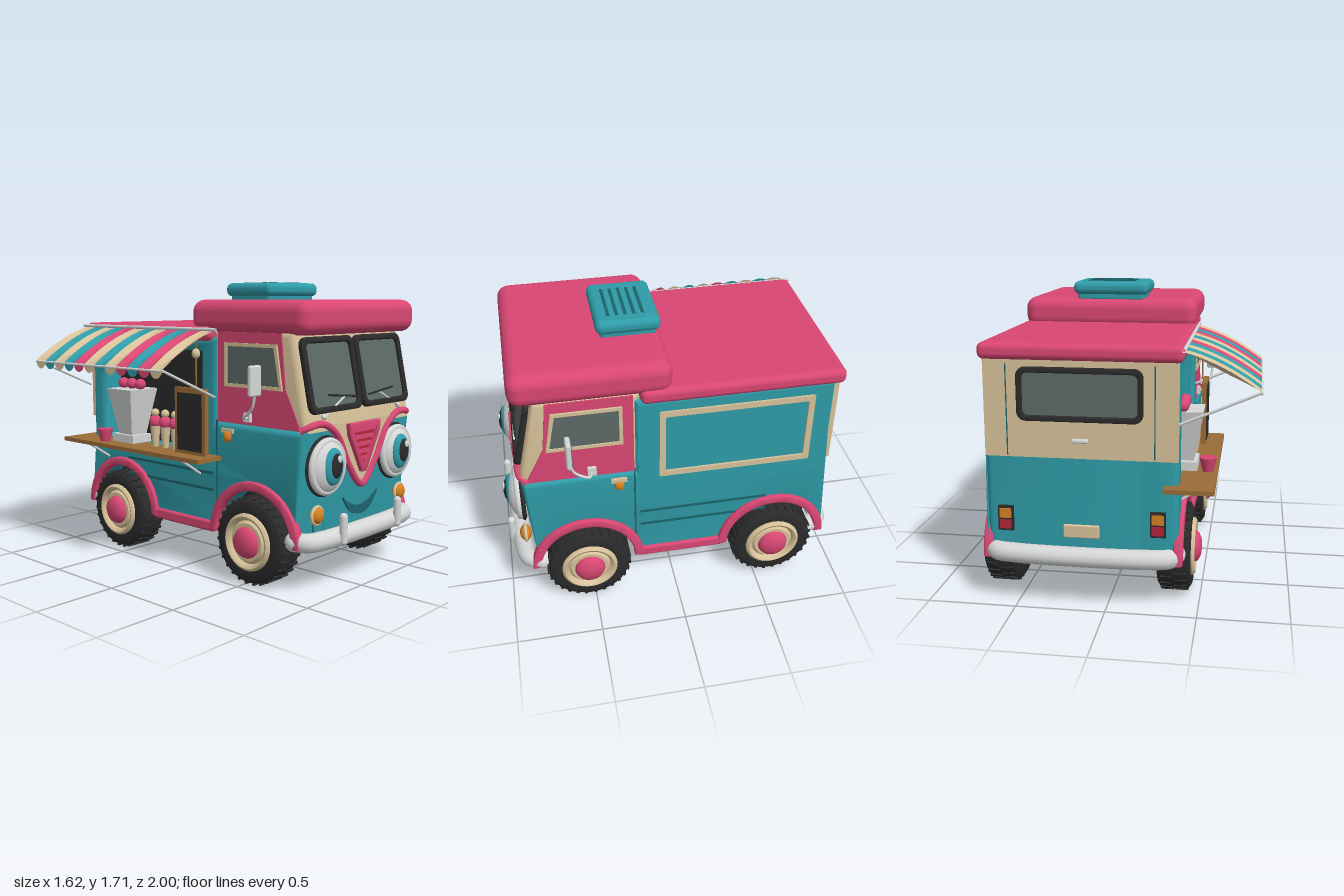
import * as THREE from 'three';
import { RoundedBoxGeometry } from 'three/addons/geometries/RoundedBoxGeometry.js';
import { mergeGeometries, toCreasedNormals } from 'three/addons/utils/BufferGeometryUtils.js';

const paint = (name, color) => {
  const m = new THREE.MeshStandardMaterial({ color, side: THREE.DoubleSide });
  m.name = name;
  return m;
};

export function createModel() {
  const pink = paint('pink', 0xd94773), teal = paint('teal', 0x2f9ca8), beige = paint('beige', 0xd8c29a);
  const black = paint('black', 0x2b2b2b), glass = paint('glass', 0x5d6a68), silver = paint('silver', 0xd6d8d8);
  const orange = paint('orange', 0xd5801f), wood = paint('wood', 0x9a6c38), darkTeal = paint('darkTeal', 0x1b646c);
  const red = paint('red', 0xb3263a);

  const model = new THREE.Group();
  model.name = 'foodTruck';
  const van = new THREE.Group(); // van body is symmetric about its own x = 0
  van.name = 'van';
  van.position.x = 0.14;
  model.add(van);

  // ---- helpers ----
  const add = (name, geo, mat, x = 0, y = 0, z = 0, parent = van) => {
    const m = new THREE.Mesh(geo, mat);
    m.name = name;
    m.position.set(x, y, z);
    parent.add(m);
    return m;
  };
  const box = (name, mat, w, h, d, x, y, z, parent) => add(name, new THREE.BoxGeometry(w, h, d), mat, x, y, z, parent);
  const rbox = (name, mat, w, h, d, r, x, y, z) => add(name, new RoundedBoxGeometry(w, h, d, 4, r), mat, x, y, z);
  const ball = (name, mat, sx, sy, sz, x, y, z) =>
    add(name, new THREE.SphereGeometry(1, 28, 18), mat, x, y, z).scale.set(sx, sy, sz);
  const tube = (name, mat, r, pts) => {
    const curve = new THREE.CatmullRomCurve3(pts.map(p => new THREE.Vector3(...p)), false, 'centripetal');
    return add(name, new THREE.TubeGeometry(curve, pts.length * 8, r, 12), mat);
  };
  const poly = pts => new THREE.Shape(pts.map(p => new THREE.Vector2(...p)));
  const extrude = (shape, depth, b = 0) => toCreasedNormals(new THREE.ExtrudeGeometry(shape, {
    depth: depth - 2 * b, bevelEnabled: b > 0, bevelThickness: b, bevelSize: b, bevelOffset: -b, bevelSegments: 4, curveSegments: 28,
  }).translate(0, 0, b), 0.6);
  // outline drawn in (z, y), extruded from x0 to x1
  const side = (name, mat, shape, x0, x1, b = 0) =>
    add(name, extrude(shape, x1 - x0, b).rotateY(-Math.PI / 2).translate(x1, 0, 0), mat);
  const sidePlate = (name, mat, shape, s, x, t) => side(name, mat, shape, s > 0 ? x : -x - t, s > 0 ? x + t : -x);
  const roundRect = (w, h, r, cx = 0, cy = 0) => {
    const s = new THREE.Shape(), a = w / 2 - r, c = h / 2 - r, q = Math.PI / 2;
    s.absarc(cx + a, cy + c, r, 0, q);
    s.absarc(cx - a, cy + c, r, q, 2 * q);
    s.absarc(cx - a, cy - c, r, 2 * q, 3 * q);
    s.absarc(cx + a, cy - c, r, 3 * q, 4 * q);
    return s;
  };
  const withHole = (s, h) => { s.holes.push(h); return s; };

  // ---- body ----
  const bodyOutline = () => {
    const s = new THREE.Shape();
    s.moveTo(0.88, 0.26);
    s.absarc(0.53, 0.26, 0.29, 0, Math.PI);
    s.absarc(-0.6, 0.26, 0.29, 0, Math.PI);
    [[-0.91, 0.26], [-0.91, 1.4], [0.24, 1.4], [0.24, 0.91], [0.88, 0.91]].forEach(p => s.lineTo(...p));
    return s;
  };
  side('body', teal, bodyOutline(), -0.39, 0.53, 0.04);
  side('servingWall', teal, withHole(bodyOutline(), roundRect(0.88, 0.6, 0.02, -0.34, 1.01)), -0.53, -0.29, 0.04);
  sidePlate('servingInterior', black, roundRect(0.9, 0.62, 0.02, -0.34, 1.01), -1, 0.39, 0.006);
  box('underbody', black, 0.76, 0.34, 1.68, 0, 0.42, -0.02);
  side('cab', beige, poly([[0.2, 0.9], [0.885, 0.9], [0.87, 1.0], [0.78, 1.44], [0.2, 1.44]]), -0.515, 0.515, 0.035);
  rbox('cabRoof', pink, 1.08, 0.19, 0.88, 0.07, 0, 1.515, 0.46);
  rbox('rearRoof', pink, 1.1, 0.09, 1.15, 0.035, 0, 1.415, -0.375);
  rbox('ventBase', teal, 0.42, 0.06, 0.31, 0.02, -0.005, 1.62, 0.21);
  rbox('roofVent', teal, 0.47, 0.08, 0.36, 0.035, -0.005, 1.67, 0.21);
  for (let i = 0; i < 5; i++) box('ventSlot', darkTeal, 0.3, 0.006, 0.018, 0, 1.71, 0.12 + i * 0.048);

  // ---- both sides ----
  for (const s of [-1, 1]) {
    sidePlate('doorPanel', pink, poly([[0.24, 0.91], [0.85, 0.91], [0.74, 1.13], [0.71, 1.43], [0.24, 1.43]]), s, 0.514, 0.008);
    const win = e => poly([[0.30 + e, 1.12 + e], [0.725 - e, 1.12 + e], [0.685 - e, 1.37 - e], [0.30 + e, 1.37 - e]]);
    sidePlate('doorWindowFrame', beige, withHole(win(0), win(0.02)), s, 0.52, 0.014);
    sidePlate('doorWindow', glass, win(0.015), s, 0.521, 0.006);
    box('doorSeam', darkTeal, 0.004, 0.6, 0.01, s * 0.53, 0.62, 0.24);
    for (const y of [0.5, 0.6]) box('sideRib', darkTeal, 0.008, 0.016, 0.76, s * 0.531, y, -0.17);
    for (const z of [0.53, -0.6]) {
      const arch = new THREE.Shape();
      arch.absarc(z, 0.26, 0.335, 0, Math.PI);
      arch.absarc(z, 0.26, 0.28, Math.PI, 0, true);
      side('wheelArch', pink, arch, s > 0 ? 0.5 : -0.555, s > 0 ? 0.555 : -0.5, 0.012);
    }
    rbox('sill', pink, 0.05, 0.065, 0.52, 0.015, s * 0.525, 0.28, -0.035);
    // marker lamp
    box('markerPlate', beige, 0.02, 0.025, 0.09, s * 0.535, 0.865, 0.33);
    ball('markerLamp', orange, 0.022, 0.032, 0.028, s * 0.54, 0.83, 0.33);
    // wing mirror
    rbox('mirror', silver, 0.09, 0.17, 0.03, 0.012, s * 0.625, 1.175, 0.61);
    box('mirrorGlass', glass, 0.065, 0.14, 0.004, s * 0.625, 1.175, 0.593);
    tube('mirrorArm', silver, 0.008, [[s * 0.62, 1.1, 0.61], [s * 0.61, 1.02, 0.58], [s * 0.59, 0.96, 0.5], [s * 0.52, 0.95, 0.48]]);
    box('mirrorMount', silver, 0.03, 0.05, 0.05, s * 0.53, 0.955, 0.48);
  }
  // framed panel on the left side
  sidePlate('sidePanel', teal, roundRect(1.1, 0.61, 0.01, -0.33, 1.065), 1, 0.53, 0.006);
  sidePlate('sidePanelFrame', beige, withHole(roundRect(0.88, 0.45, 0.01, -0.34, 1.09), roundRect(0.81, 0.38, 0.01, -0.34, 1.09)), 1, 0.53, 0.018);

  // ---- wheels ----
  const lathe = pts => toCreasedNormals(new THREE.LatheGeometry(pts.map(p => new THREE.Vector2(...p)), 40), 0.7);
  const tyre = lathe([[0, -0.07], [0.15, -0.07], [0.16, -0.09], [0.215, -0.095], [0.238, -0.08], [0.246, -0.04], [0.246, 0.04], [0.238, 0.08], [0.215, 0.095], [0.165, 0.09], [0.15, 0.05]]);
  const rim = lathe([[0.168, 0.07], [0.165, 0.1], [0.15, 0.112], [0.135, 0.105], [0.125, 0.085], [0.11, 0.1], [0.09, 0.1], [0.08, 0.06]]);
  const hub = lathe([[0.09, 0.08], [0.09, 0.105], [0.08, 0.125], [0.05, 0.14], [0, 0.146]]);
  const blocks = [];
  for (let i = 0; i < 56; i++) {
    blocks.push(new THREE.BoxGeometry(0.012, 0.07, 0.017).translate(0.247, i % 2 ? 0.04 : -0.04, 0).rotateY(i * Math.PI / 28));
  }
  const tread = mergeGeometries(blocks);
  for (const z of [0.53, -0.6]) {
    for (const s of [-1, 1]) {
      const wheel = new THREE.Group();
      wheel.name = 'wheel';
      wheel.position.set(s * 0.495, 0.256, z);
      wheel.rotation.z = -s * Math.PI / 2;
      add('tyre', tyre, black, 0, 0, 0, wheel);
      add('tread', tread, black, 0, 0, 0, wheel);
      add('rim', rim, beige, 0, 0, 0, wheel);
      add('hubCap', hub, pink, 0, 0, 0, wheel);
      van.add(wheel);
    }
    tube('axle', silver, 0.025, [[-0.45, 0.245, z], [0.45, 0.245, z]]);
  }

  // ---- bumpers ----
  for (const [s, z] of [[1, 0.905], [-1, -0.94]]) {
    tube('bumper', silver, 0.055, [[-0.51, 0.295, z - s * 0.1], [-0.48, 0.295, z - s * 0.03], [-0.36, 0.295, z], [0.36, 0.295, z], [0.48, 0.295, z - s * 0.03], [0.51, 0.295, z - s * 0.1]]);
    for (const e of [-1, 1]) ball('bumperEnd', silver, 0.055, 0.055, 0.055, e * 0.51, 0.295, z - s * 0.1);
  }

  // ---- front face ----
  for (const s of [-1, 1]) {
    // windscreen half with wiper
    const pane = new THREE.Group();
    pane.name = 'windscreen';
    pane.position.set(s * 0.245, 1.2, 0.825);
    pane.rotation.x = -0.21;
    van.add(pane);
    add('windscreenFrame', extrude(withHole(roundRect(0.475, 0.42, 0.05), roundRect(0.405, 0.35, 0.03)), 0.035, 0.008), black, 0, 0, 0, pane);
    add('windscreenGlass', extrude(roundRect(0.42, 0.365, 0.03), 0.008), glass, 0, 0, 0.008, pane);
    const wx = s < 0 ? -0.37 : 0.37;
    tube('wiperArm', silver, 0.006, [[wx, 0.98, 0.895], [wx - s * 0.19, 1.075, 0.885]]);
    tube('wiperBlade', black, 0.006, [[wx - s * 0.05, 1.095, 0.88], [wx - s * 0.31, 1.07, 0.885]]);
    ball('wiperPivot', silver, 0.016, 0.016, 0.016, wx, 0.98, 0.89);

    // eye
    const ex = s * 0.345, ix = ex - (s > 0 ? 0.018 : 0.006);
    ball('eyeSurround', black, 0.17, 0.172, 0.03, ex, 0.705, 0.88);
    add('eyeRim', new THREE.TorusGeometry(0.142, 0.02, 12, 40), silver, ex, 0.705, 0.9);
    ball('eyeWhite', silver, 0.15, 0.155, 0.085, ex, 0.705, 0.88);
    ball('iris', teal, 0.082, 0.104, 0.033, ix, 0.71, 0.943);
    ball('pupil', black, 0.057, 0.076, 0.03, ix, 0.715, 0.955);
    ball('eyeGlint', silver, 0.018, 0.022, 0.01, ix + 0.01, 0.755, 0.979);

    // turn lamp and bumper post
    add('lampRing', new THREE.TorusGeometry(0.048, 0.01, 10, 28), beige, s * 0.415, 0.44, 0.885);
    ball('turnLamp', orange, 0.047, 0.047, 0.035, s * 0.415, 0.44, 0.885);
    add('bumperPost', new THREE.CapsuleGeometry(0.023, 0.14, 6, 16), silver, s * 0.275, 0.35, 0.965);
  }
  add('noseShield', extrude(poly([[-0.33, 0.93], [-0.22, 0.84], [-0.12, 0.68], [0, 0.55], [0.12, 0.68], [0.22, 0.84], [0.33, 0.93]]), 0.008), beige, 0, 0, 0.879);
  tube('noseTrim', pink, 0.02, [[-0.52, 0.91, 0.84], [-0.48, 0.935, 0.88], [-0.37, 0.94, 0.888], [-0.25, 0.87, 0.89], [-0.13, 0.68, 0.89], [0, 0.555, 0.89],
    [0.13, 0.68, 0.89], [0.25, 0.87, 0.89], [0.37, 0.94, 0.888], [0.48, 0.935, 0.88], [0.52, 0.91, 0.84]]);
  const grille = k => poly([[-0.155, 0.92], [0.155, 0.92], [0.15, 0.86], [0.02, 0.63], [-0.02, 0.63], [-0.15, 0.86]].map(([x, y]) => [x * k, 0.8 + (y - 0.8) * k]));
  add('grilleFrame', extrude(withHole(grille(1), grille(0.78)), 0.035, 0.008), pink, 0, 0, 0.88);
  add('grilleBack', extrude(grille(0.8), 0.008), red, 0, 0, 0.885);
  for (let i = 0; i < 5; i++) box('grilleSlat', pink, 0.23 - i * 0.04, 0.022, 0.014, 0, 0.875 - i * 0.042, 0.897);
  const smile = new THREE.Shape();
  smile.moveTo(-0.175, 0.5);
  smile.quadraticCurveTo(0, 0.36, 0.175, 0.5);
  smile.quadraticCurveTo(0.11, 0.375, 0, 0.378);
  smile.quadraticCurveTo(-0.11, 0.375, -0.175, 0.5);
  add('smile', extrude(smile, 0.009), darkTeal, 0, 0, 0.878);

  // ---- back face ----
  box('backPanel', beige, 1.05, 0.54, 0.03, 0, 1.11, -0.902);
  add('backWindowFrame', extrude(withHole(roundRect(0.68, 0.29, 0.05), roundRect(0.62, 0.23, 0.03)), 0.03, 0.006), black, 0, 1.19, -0.943);
  add('backWindow', extrude(roundRect(0.64, 0.25, 0.03), 0.008), glass, 0, 1.19, -0.925);
  for (const s of [-1, 1]) {
    box('hatchSeam', darkTeal, 0.006, 0.5, 0.006, s * 0.4, 1.1, -0.917);
    box('tailLampCase', black, 0.085, 0.14, 0.03, s * 0.42, 0.49, -0.915);
    box('tailLampAmber', orange, 0.065, 0.055, 0.008, s * 0.42, 0.52, -0.932);
    box('tailLampRed', red, 0.065, 0.05, 0.008, s * 0.42, 0.457, -0.932);
  }
  rbox('hatchHandle', silver, 0.09, 0.022, 0.03, 0.008, 0, 0.94, -0.925);
  rbox('numberPlate', beige, 0.2, 0.075, 0.02, 0.008, 0, 0.43, -0.918);

  // ---- awning ----
  const stripes = [beige, teal, beige, teal, pink, beige, teal, beige, pink, teal, pink, beige];
  const w = 1.17 / stripes.length;
  stripes.forEach((mat, i) => {
    const z0 = -0.94 + i * w, cloth = new THREE.PlaneGeometry(1, 1, 10, 6), p = cloth.attributes.position;
    for (let k = 0; k < p.count; k++) {
      const u = p.getX(k) + 0.5, v = p.getY(k) + 0.5;
      p.setXYZ(k, -0.55 - 0.4 * u, 1.43 - 0.1 * u - 0.1 * u * u - 0.03 * Math.sin(Math.PI * v) * Math.sin(Math.PI * u), z0 + v * w);
    }
    cloth.computeVertexNormals();
    add('awningStripe', cloth, mat);
    const flap = new THREE.CircleGeometry(w / 2, 16, Math.PI, Math.PI).rotateY(-Math.PI / 2);
    add('awningScallop', flap, mat, -0.95, 1.23, z0 + w / 2);
  });
  tube('awningRail', silver, 0.01, [[-0.55, 1.44, -0.96], [-0.55, 1.44, 0.25]]);
  tube('awningFrontRail', silver, 0.007, [[-0.947, 1.225, -0.94], [-0.947, 1.225, 0.23]]);
  for (const z of [-0.93, 0.22]) tube('awningStay', silver, 0.008, [[-0.945, 1.23, z], [-0.53, 1.05, z]]);

  // ---- serving counter ----
  box('counter', wood, 0.27, 0.025, 1.25, -0.585, 0.697, -0.355);
  for (const z of [-0.75, 0.1]) tube('counterStrut', silver, 0.008, [[-0.69, 0.685, z], [-0.525, 0.58, z]]);
  const hopper = new THREE.CylinderGeometry(0.16, 0.085, 0.3, 4).rotateY(Math.PI / 4).toNonIndexed();
  hopper.computeVertexNormals();
  add('iceCreamMachine', hopper, silver, -0.52, 0.9, -0.52);
  box('machineBase', silver, 0.15, 0.05, 0.2, -0.53, 0.735, -0.52);
  for (const z of [-0.6, -0.52, -0.44]) ball('machineKnob', pink, 0.035, 0.035, 0.035, -0.52, 1.08, z);
  add('bowl', new THREE.CylinderGeometry(0.05, 0.03, 0.08, 20), pink, -0.665, 0.755, -0.62);
  for (const z of [-0.26, -0.17, -0.08]) {
    add('cone', new THREE.CylinderGeometry(0.032, 0.02, 0.13, 14), beige, -0.56, 0.775, z);
    ball('scoop', pink, 0.038, 0.042, 0.038, -0.56, 0.865, z);
    ball('topping', beige, 0.026, 0.026, 0.026, -0.56, 0.92, z);
  }
  box('menuBoard', wood, 0.03, 0.4, 0.25, -0.6, 0.9, 0.1);
  box('menuBoardFace', black, 0.008, 0.34, 0.2, -0.617, 0.9, 0.1);
  tube('lampCord', wood, 0.005, [[-0.58, 1.41, 0.12], [-0.58, 1.1, 0.12]]);
  ball('hangingLamp', beige, 0.025, 0.03, 0.025, -0.58, 1.3, 0.12);
  return model;
}
